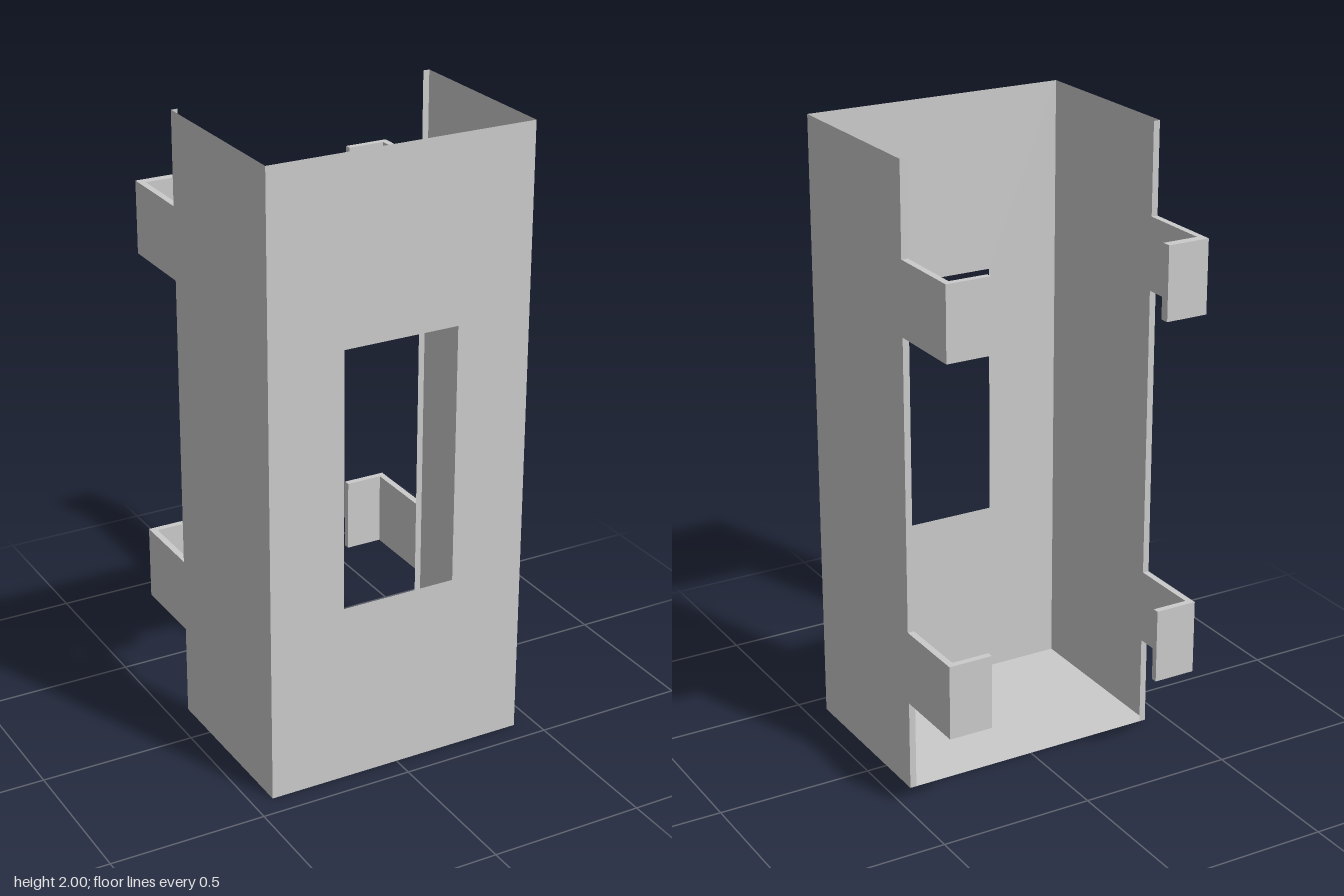
import * as THREE from 'three';

const W = 0.433, H = 2, FRONT = 0.428, BACK = -0.16, T = 0.021;
const sheet = new THREE.MeshStandardMaterial({ color: 0xcccccc, side: THREE.DoubleSide, flatShading: true });

function add(parent, name, geometry, x, y, z) {
  const mesh = new THREE.Mesh(geometry, sheet);
  mesh.name = name;
  mesh.position.set(x, y, z);
  parent.add(mesh);
  return mesh;
}

// Box given by its two extreme corners
function block(parent, name, x0, x1, y0, y1, z0, z1) {
  const g = new THREE.BoxGeometry(Math.abs(x1 - x0), y1 - y0, z1 - z0);
  return add(parent, name, g, (x0 + x1) / 2, (y0 + y1) / 2, (z0 + z1) / 2);
}

function rectangle(path, x, y0, y1) {
  return path.moveTo(-x, y0).lineTo(x, y0).lineTo(x, y1).lineTo(-x, y1).closePath();
}

export function createModel() {
  const model = new THREE.Group();
  model.name = 'openBackHolder';
  const depth = FRONT - BACK, midZ = (FRONT + BACK) / 2;

  // Thin front panel with a rectangular window
  const panel = rectangle(new THREE.Shape(), W, 0, H);
  panel.holes.push(rectangle(new THREE.Path(), 0.188, 0.587, 1.418));
  add(model, 'frontPanel', new THREE.ShapeGeometry(panel), 0, 0, FRONT);

  // Floor; the top and back stay open
  add(model, 'floor', new THREE.PlaneGeometry(2 * W, depth).rotateX(Math.PI / 2), 0, 0, midZ);

  for (const side of [-1, 1]) {
    const name = side > 0 ? 'left' : 'right';

    // Thin side wall with a narrow return along its back edge
    add(model, name + 'Wall', new THREE.PlaneGeometry(depth, H).rotateY(side * Math.PI / 2), side * W, H / 2, midZ);
    add(model, name + 'BackEdge', new THREE.PlaneGeometry(T, H).rotateY(Math.PI), side * (W - T / 2), H / 2, BACK);

    // Two clips per side: an arm running back and a hook turned inward
    for (const [level, y0, y1] of [['Lower', 0.295, 0.535], ['Upper', 1.475, 1.708]]) {
      const clip = new THREE.Group();
      clip.name = name + level + 'Clip';
      const end = side < 0 && level === 'Upper' ? -0.428 : -0.419;
      const tip = side < 0 ? 0.295 : 0.29;
      block(clip, 'clipArm', side * W, side * (W - T), y0, y1, -0.398, BACK);
      block(clip, 'clipHook', side * W, side * tip, y0, y1, end, -0.398);
      model.add(clip);
    }
  }
  return model;
}
